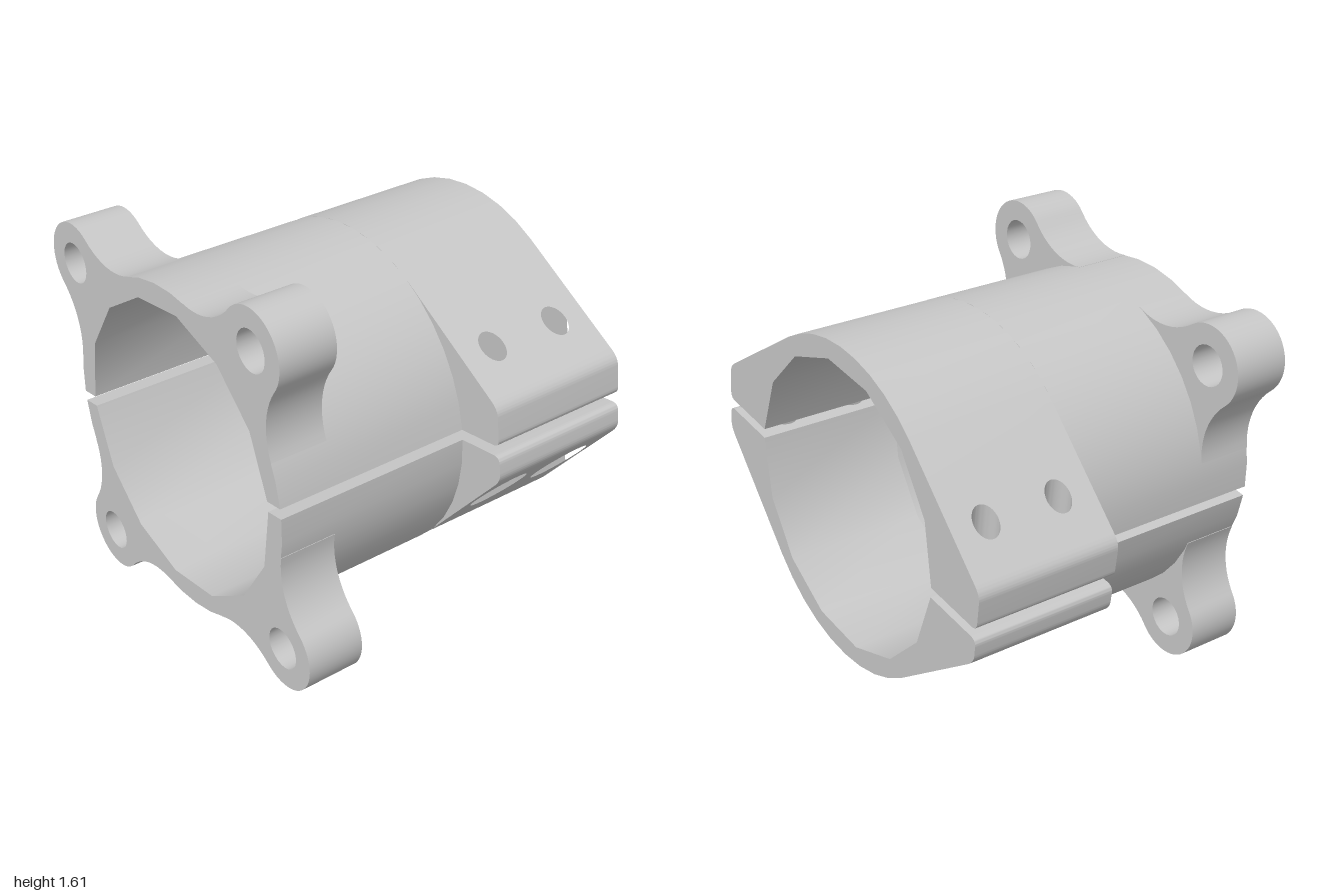
import * as THREE from 'three';
import { toCreasedNormals } from 'three/addons/utils/BufferGeometryUtils.js';

const R = 0.655, BORE = 0.58, GAP = 0.02;       // tube radii and half the split gap
const END0 = -0.705, END1 = 0.69, CLAMP = 0.1;  // stations along the tube axis
const BOLT = 0.672, SPLIT = 0.59, STEP = 0.565, LEDGE = 0.165, TIP0 = 0.79, TIP = 0.85;

const metal = new THREE.MeshStandardMaterial({ color: 0xc8c8c8 });
metal.name = 'grey metal';

function addMesh(parent, name, geo) {
  const mesh = new THREE.Mesh(toCreasedNormals(geo, 0.55), metal);
  mesh.name = name;
  parent.add(mesh);
  return mesh;
}

// Cross-section extruded along the tube axis (x)
function alongAxis(shape, x0, x1) {
  const geo = new THREE.ExtrudeGeometry(shape, { depth: x1 - x0, bevelEnabled: false, curveSegments: 12 });
  return geo.rotateY(Math.PI / 2).translate(x0, 0, 0);
}

function arc(r, a0, a1, n) {
  return Array.from({ length: n + 1 }, (_, i) => {
    const a = a0 + (a1 - a0) * i / n;
    return new THREE.Vector2(r * Math.cos(a), r * Math.sin(a));
  });
}

// Upright block with bolt holes; bottom and top follow height rules lo(p), hi(p)
function drilledBlock(p0, p1, side, holeR, lo, hi) {
  const shape = new THREE.Shape([
    [CLAMP, p0], [END1, p0], [END1, p1], [CLAMP, p1],
  ].map(([x, p]) => new THREE.Vector2(x, -side * p)));
  for (const x of [0.245, 0.55]) {
    shape.holes.push(new THREE.Path().absarc(x, -side * BOLT, holeR, 0, Math.PI * 2, true));
  }
  const geo = new THREE.ExtrudeGeometry(shape, { depth: 1, bevelEnabled: false, curveSegments: 24 });
  geo.rotateX(-Math.PI / 2);
  const pos = geo.attributes.position;
  for (let i = 0; i < pos.count; i++) {
    const p = Math.abs(pos.getZ(i)), t = pos.getY(i);
    pos.setY(i, lo(p) + (hi(p) - lo(p)) * t);
  }
  return geo;
}

// One half shell: plain tube, clamp section and two flanges (h = 1 upper, -1 lower)
function halfShell(h) {
  const group = new THREE.Group();
  group.name = h > 0 ? 'upperHalf' : 'lowerHalf';
  const A = THREE.MathUtils.degToRad(h > 0 ? 52 : 48);
  const slope = p => (R - p * Math.cos(A)) / Math.sin(A);
  const flip = pts => new THREE.Shape(pts.map(v => new THREE.Vector2(v.x, v.y * h)));
  const ai = Math.asin(GAP / BORE), ao = Math.asin(GAP / R);
  const inner = arc(BORE, Math.PI - ai, ai, 7);

  addMesh(group, 'tubeWall', alongAxis(flip([...arc(R, ao, Math.PI - ao, 20), ...inner]), END0, CLAMP));

  // Clamp section leaves room for the drilled blocks
  const edge = h > 0
    ? [[SPLIT, GAP], [SPLIT, slope(SPLIT)]]
    : [[SPLIT, GAP], [SPLIT, LEDGE], [STEP, LEDGE], [STEP, slope(STEP)]];
  const right = edge.map(([x, y]) => new THREE.Vector2(x, y));
  const left = right.map(v => new THREE.Vector2(-v.x, v.y)).reverse();
  const outline = [...right, ...arc(R, A, Math.PI - A, 9), ...left, ...inner];
  addMesh(group, 'clampWall', alongAxis(flip(outline), CLAMP, END1));

  for (const side of [1, -1]) {
    const name = side > 0 ? 'frontFlange' : 'backFlange';
    if (h > 0) {
      addMesh(group, name, drilledBlock(SPLIT, TIP0, side, 0.05, () => GAP, slope));
    } else {
      addMesh(group, name, drilledBlock(SPLIT, TIP0, side, 0.05, () => -LEDGE, () => -GAP));
      addMesh(group, name + 'Counterbore', drilledBlock(STEP, TIP0, side, 0.106, p => -slope(p), () => -LEDGE));
    }
    // Rounded flange tip
    const tip = new THREE.Shape();
    const P = (x, y) => [-side * x, h * y];
    tip.moveTo(...P(TIP0, GAP));
    tip.lineTo(...P(TIP - 0.03, GAP));
    tip.quadraticCurveTo(...P(TIP, GAP), ...P(TIP, GAP + 0.03));
    tip.lineTo(...P(TIP, slope(TIP) - 0.03));
    tip.quadraticCurveTo(...P(TIP, slope(TIP)), ...P(TIP - 0.03, slope(TIP - 0.03)));
    tip.lineTo(...P(TIP0, slope(TIP0)));
    addMesh(group, name + 'Tip', alongAxis(tip, CLAMP, END1));
  }
  return group;
}

// Mounting lug pointing along +y, blended into the tube by concave fillets
function lugGeometry() {
  const D = 0.815, HEAD = 0.16, F = 0.3;
  const a = R + F, b = HEAD + F;
  const w = Math.acos((D * D + a * a - b * b) / (2 * D * a));
  const fx = a * Math.sin(w), fy = a * Math.cos(w);        // fillet centre
  const toHead = Math.PI + Math.atan2(fy - D, fx);         // towards the head centre
  const toTube = Math.PI + Math.atan2(fy, fx);             // towards the tube axis
  const headStart = toHead - Math.PI;
  const fillet = arc(F, toTube, toHead, 10);
  const pts = [
    ...fillet.map(v => new THREE.Vector2(fx + v.x, fy + v.y)),
    ...arc(HEAD, headStart, Math.PI - headStart, 24).slice(1, -1).map(v => new THREE.Vector2(v.x, D + v.y)),
    ...fillet.map(v => new THREE.Vector2(-fx - v.x, fy + v.y)).reverse(),
    ...arc(R - 0.02, Math.PI / 2 + w, Math.PI / 2 - w, 8),
  ];
  const shape = new THREE.Shape(pts);
  shape.holes.push(new THREE.Path().absarc(0, D, 0.08, 0, Math.PI * 2, true));
  return alongAxis(shape, END0, -0.475);
}

export function createModel() {
  const model = new THREE.Group();
  model.name = 'splitClampSleeve';
  const sleeve = new THREE.Group();
  sleeve.name = 'sleeve';
  sleeve.rotation.set(-0.13, 0.301, 0, 'YXZ');
  sleeve.position.set(0.003, 0.814, 0.01);
  model.add(sleeve);

  sleeve.add(halfShell(1), halfShell(-1));

  // Four lugs, one per quadrant
  const lug = lugGeometry();
  for (let i = 0; i < 4; i++) {
    addMesh(sleeve, 'mountingLug' + (i + 1), lug).rotation.x = Math.PI / 4 + i * Math.PI / 2;
  }
  return model;
}
